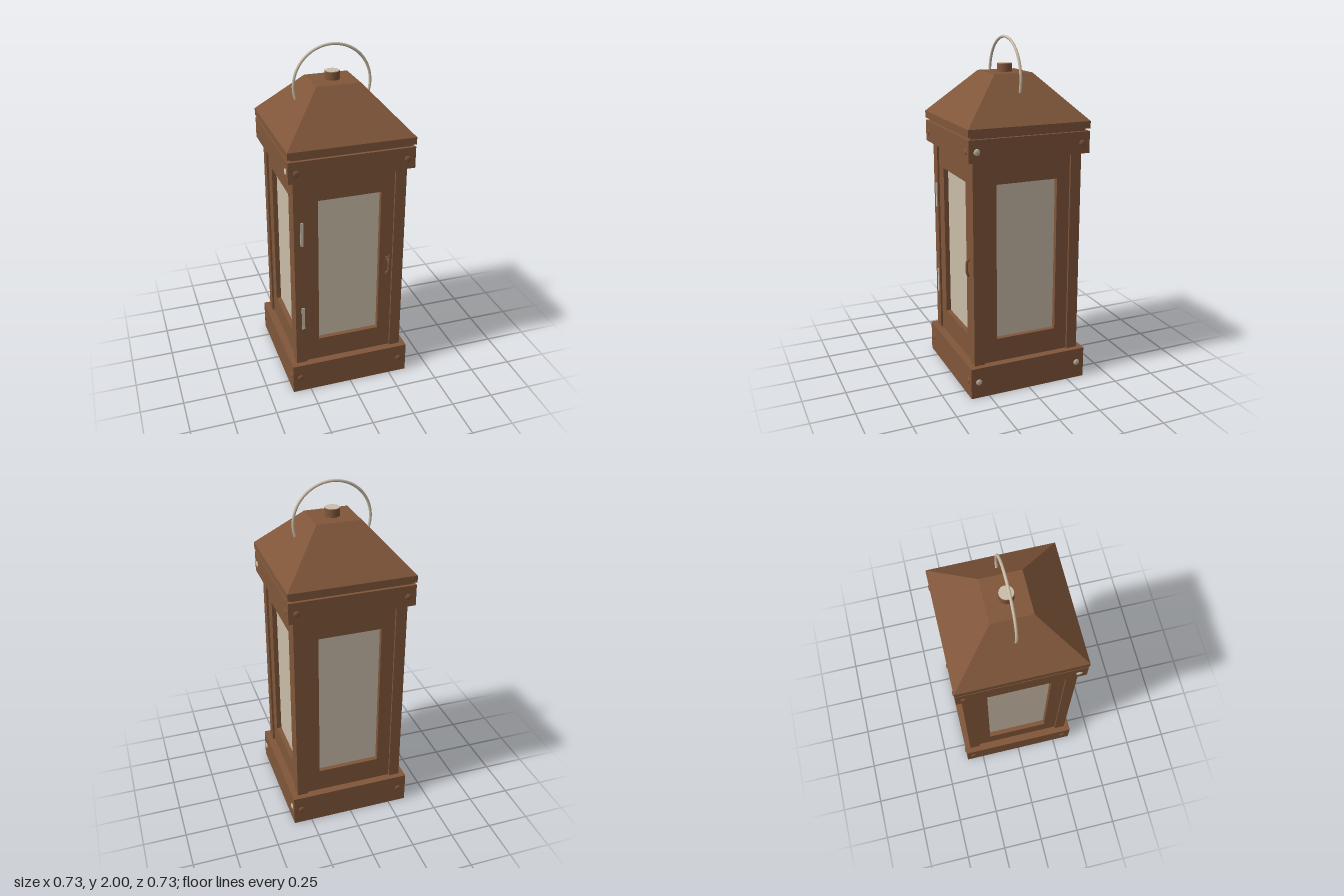
import * as THREE from 'three';

export function createModel() {
  const group = new THREE.Group();
  const mat = (name, color) => {
    const m = new THREE.MeshStandardMaterial({ color });
    m.name = name;
    return m;
  };
  const wood = mat('brown', 0x80563a);
  const pale = mat('pale cream', 0xcabda8);

  const add = (name, geo, material, x = 0, y = 0, z = 0, parent = group) => {
    const mesh = new THREE.Mesh(geo, material);
    mesh.name = name;
    mesh.position.set(x, y, z);
    parent.add(mesh);
    return mesh;
  };
  // square slab between two heights
  const slab = (name, half, y0, y1, material = wood) =>
    add(name, new THREE.BoxGeometry(half * 2, y1 - y0, half * 2), material, 0, (y0 + y1) / 2, 0);

  slab('base', 0.358, 0, 0.183);
  slab('glass', 0.285, 0.25, 1.3, pale);
  slab('topBand', 0.358, 1.37, 1.493);
  slab('roofNeck', 0.34, 1.493, 1.508);
  slab('roofEave', 0.36, 1.508, 1.548);

  // Roof: a box whose top face is narrowed
  const roofGeo = new THREE.BoxGeometry(0.72, 0.252, 0.72).toNonIndexed();
  const pos = roofGeo.attributes.position;
  for (let i = 0; i < pos.count; i++) {
    if (pos.getY(i) > 0) {
      pos.setX(i, Math.sign(pos.getX(i)) * 0.125);
      pos.setZ(i, Math.sign(pos.getZ(i)) * 0.114);
    }
  }
  roofGeo.computeVertexNormals();
  add('roof', roofGeo, wood, 0, 1.674, 0);

  // Chimney knob with a pale cap
  add('knob', new THREE.CylinderGeometry(0.042, 0.042, 0.05, 24), wood, 0, 1.82, 0);
  add('knobCap', new THREE.CylinderGeometry(0.039, 0.039, 0.004, 24), pale, 0, 1.846, 0);

  // Wire carrying handle
  const start = -0.4;
  const ringGeo = new THREE.TorusGeometry(0.221, 0.008, 10, 48, Math.PI - 2 * start);
  ringGeo.rotateZ(start);
  add('carryHandle', ringGeo, pale, 0, 1.771, 0);

  // Corner posts
  for (const sx of [-1, 1]) for (const sz of [-1, 1])
    add('cornerPost', new THREE.BoxGeometry(0.064, 1.2, 0.064), wood, sx * 0.293, 0.776, sz * 0.293);

  // Window frame with an opening, and the rivets of one wall
  const frame = new THREE.Shape([
    [-0.262, 0.17], [0.262, 0.17], [0.262, 1.38], [-0.262, 1.38],
  ].map(p => new THREE.Vector2(...p)));
  frame.holes.push(new THREE.Path([
    [-0.183, 0.322], [-0.183, 1.23], [0.183, 1.23], [0.183, 0.322],
  ].map(p => new THREE.Vector2(...p))));
  const frameGeo = new THREE.ExtrudeGeometry(frame, { depth: 0.035, bevelEnabled: false });
  const rivetGeo = new THREE.SphereGeometry(0.019, 14, 6, 0, Math.PI * 2, 0, Math.PI / 2);
  rivetGeo.rotateX(Math.PI / 2).scale(1, 1, 0.42);

  // Pale rivets, listed as wall, side and row
  const paleRivets = ['1,-1,0', '1,1,0', '1,-1,1', '3,1,1'];
  for (let w = 0; w < 4; w++) {
    const wall = new THREE.Group();
    wall.name = ['frontWall', 'leftWall', 'backWall', 'rightWall'][w];
    wall.rotation.y = w * Math.PI / 2;
    group.add(wall);
    add('windowFrame', frameGeo, wood, 0, 0, 0.278, wall);
    for (const s of [-1, 1]) [0.097, 1.427].forEach((y, row) =>
      add('rivet', rivetGeo, paleRivets.includes(`${w},${s},${row}`) ? pale : wood,
        s * 0.312, y, 0.357, wall));
  }

  // Door hinges
  for (const y of [0.495, 1.045])
    add('hinge', new THREE.BoxGeometry(0.018, 0.145, 0.008), pale, -0.281, y, 0.326);

  // Door pull: a small curved bar
  const pull = new THREE.CatmullRomCurve3([
    [0.235, 0.695, 0.312], [0.235, 0.71, 0.327], [0.235, 0.75, 0.332],
    [0.235, 0.79, 0.327], [0.235, 0.805, 0.312],
  ].map(p => new THREE.Vector3(...p)));
  add('doorPull', new THREE.TubeGeometry(pull, 20, 0.008, 8), wood);
  for (const y of [0.7, 0.8])
    add('pullMount', new THREE.BoxGeometry(0.024, 0.024, 0.012), wood, 0.235, y, 0.316);

  return group;
}
